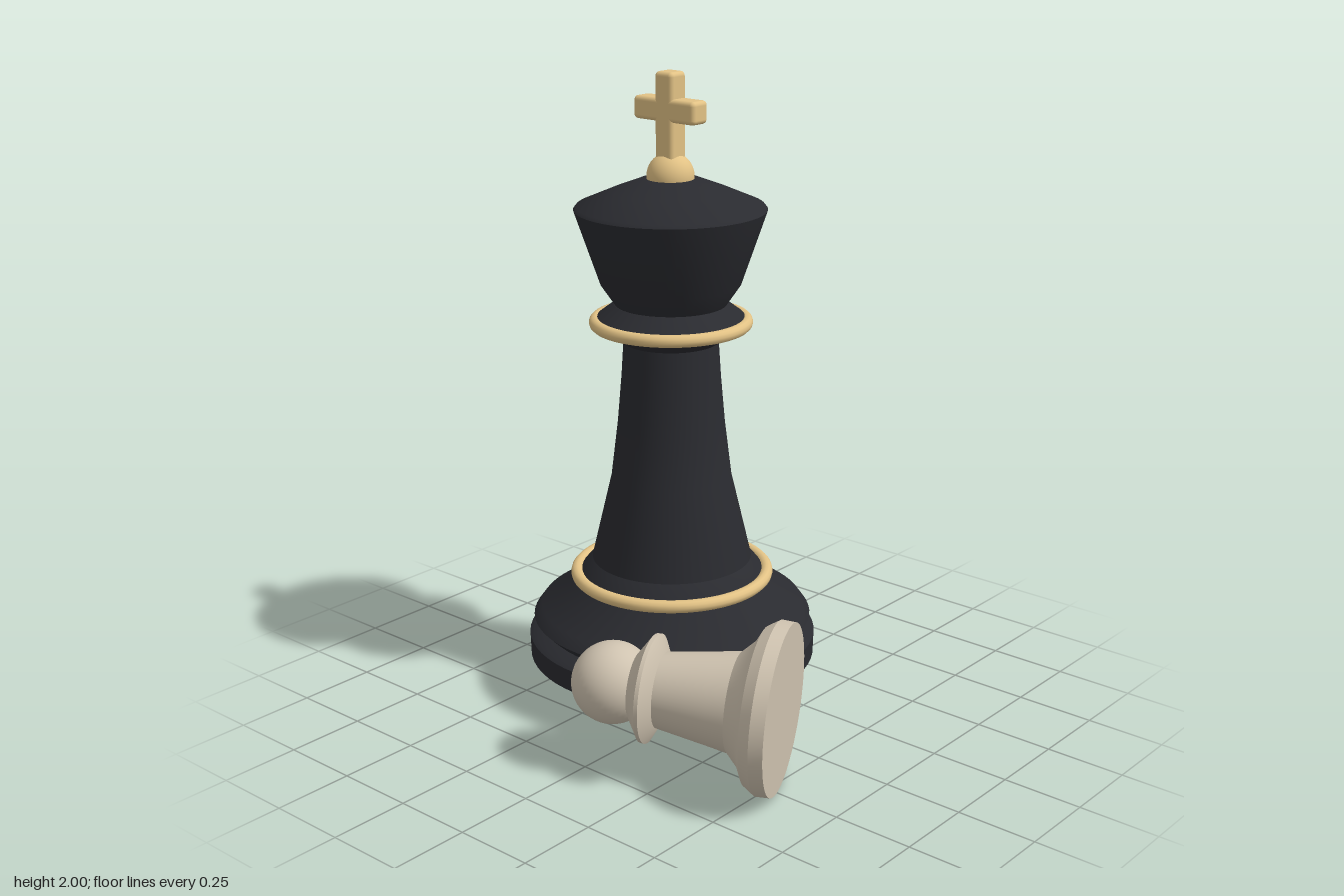
import * as THREE from 'three';
import { toCreasedNormals } from 'three/addons/utils/BufferGeometryUtils.js';
import { RoundedBoxGeometry } from 'three/addons/geometries/RoundedBoxGeometry.js';

const black = new THREE.MeshStandardMaterial({ color: 0x2a2b30 });
const gold = new THREE.MeshStandardMaterial({ color: 0xe2c285 });
const ivory = new THREE.MeshStandardMaterial({ color: 0xcfc3b0 });

function add(parent, name, geometry, material, x = 0, y = 0, z = 0) {
  const mesh = new THREE.Mesh(geometry, material);
  mesh.name = name;
  mesh.position.set(x, y, z);
  parent.add(mesh);
  return mesh;
}

// Turned solid from [radius, height] pairs, bottom to top, closed on the axis
function turned(profile, segments = 64) {
  const points = profile.map(([r, y]) => new THREE.Vector2(r, y));
  return toCreasedNormals(new THREE.LatheGeometry(points, segments), 0.5);
}

function ring(parent, name, radius, y) {
  const mesh = add(parent, name, new THREE.TorusGeometry(radius, 0.02, 12, 72), gold, 0, y);
  mesh.rotation.x = Math.PI / 2;
}

function createKing() {
  const king = new THREE.Group();
  king.name = 'king';

  add(king, 'base', turned([
    [0, 0.135], [0.458, 0.135], [0.46, 0.205], [0.447, 0.215], [0.41, 0.23],
    [0.445, 0.265], [0.42, 0.3], [0.312, 0.375], [0.29, 0.415], [0.254, 0.458], [0, 0.458],
  ]), black);
  add(king, 'shaft', turned([
    [0, 0.44], [0.256, 0.44], [0.254, 0.458], [0.19, 0.73], [0.168, 0.91],
    [0.155, 1.06], [0.148, 1.17], [0, 1.17],
  ]), black);
  add(king, 'collar', turned([
    [0, 1.17], [0.148, 1.17], [0.252, 1.232], [0.175, 1.29], [0, 1.29],
  ]), black);
  add(king, 'head', turned([
    [0, 1.28], [0.17, 1.285], [0.217, 1.354], [0.296, 1.585], [0.288, 1.595],
    [0.18, 1.642], [0.09, 1.677], [0, 1.68],
  ]), black);

  ring(king, 'baseRing', 0.304, 0.405);
  ring(king, 'collarRing', 0.234, 1.232);

  // Finial ball and cross
  add(king, 'finialBall', new THREE.SphereGeometry(0.073, 32, 20), gold, 0, 1.685);
  add(king, 'crossUpright', new RoundedBoxGeometry(0.07, 0.28, 0.07, 3, 0.014), gold, 0, 1.86);
  add(king, 'crossBar', new RoundedBoxGeometry(0.24, 0.07, 0.07, 3, 0.014), gold, 0, 1.886);

  king.position.set(-0.182, 0, -0.107);
  return king;
}

function createPawn() {
  const pawn = new THREE.Group();
  pawn.name = 'fallenPawn';

  add(pawn, 'pawnBody', turned([
    [0, 0], [0.255, 0], [0.257, 0.042], [0.235, 0.077], [0.192, 0.1],
    [0.15, 0.143], [0.14, 0.2], [0.112, 0.375], [0, 0.375],
  ]), ivory);
  add(pawn, 'pawnCollar', turned([
    [0, 0.365], [0.112, 0.368], [0.163, 0.395], [0.162, 0.407], [0.1, 0.45], [0, 0.45],
  ]), ivory);
  add(pawn, 'pawnHead', new THREE.SphereGeometry(0.124, 40, 24), ivory, 0, 0.521);

  // Lie on its side, head toward the front of the king
  const axis = new THREE.Vector3(-0.91, 0.038, 0.414).normalize();
  pawn.quaternion.setFromUnitVectors(new THREE.Vector3(0, 1, 0), axis);
  pawn.position.set(0.532, 0.26, 0.219);
  return pawn;
}

export function createModel() {
  const model = new THREE.Group();
  model.name = 'chessPieces';
  model.add(createKing(), createPawn());
  return model;
}
